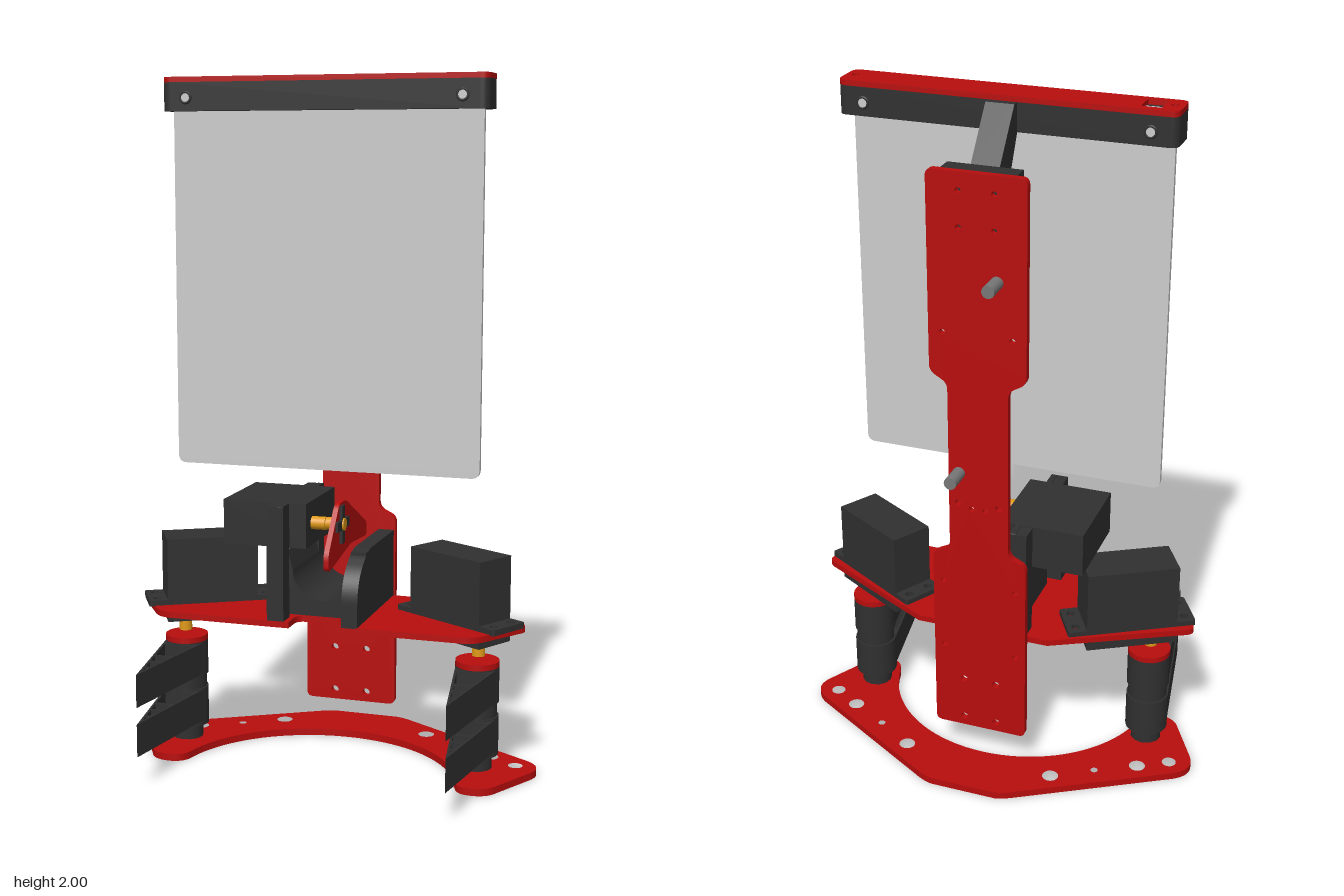
import * as THREE from 'three';

const mat = (color) => new THREE.MeshStandardMaterial({ color });
const red = mat(0xb80d0d), dark = mat(0x303030), gold = mat(0xe09a18);
const steel = mat(0x777777), grey = mat(0xcccccc);

export function createModel() {
  const model = new THREE.Group();

  const add = (name, geo, material, parent = model) => {
    const m = new THREE.Mesh(geo, material);
    m.name = name;
    parent.add(m);
    return m;
  };
  // box given by its min and max on each axis
  const box = (name, [x0, x1], [y0, y1], [z0, z1], material, parent) =>
    add(name, new THREE.BoxGeometry(x1 - x0, y1 - y0, z1 - z0)
      .translate((x0 + x1) / 2, (y0 + y1) / 2, (z0 + z1) / 2), material, parent);
  const cyl = (name, r, y0, y1, x, z, material, parent, sides = 28) =>
    add(name, new THREE.CylinderGeometry(r, r, y1 - y0, sides).translate(x, (y0 + y1) / 2, z), material, parent);

  // polygon with rounded corners; a point is [x, y, radius]
  const rounded = (pts, r = 0) => {
    const s = new THREE.Shape();
    pts.forEach(([x, y, pr = r], i) => {
      const toward = ([a, b]) => {
        const l = Math.hypot(a - x, b - y);
        return [x + ((a - x) / l) * pr, y + ((b - y) / l) * pr];
      };
      const p = toward(pts[(i + pts.length - 1) % pts.length]);
      const q = toward(pts[(i + 1) % pts.length]);
      if (i) s.lineTo(...p); else s.moveTo(...p);
      if (pr) s.quadraticCurveTo(x, y, ...q);
    });
    s.closePath();
    return s;
  };
  const drill = (shape, holes) => {
    holes.forEach(([x, y, r]) => shape.holes.push(new THREE.Path().absarc(x, y, r, 0, Math.PI * 2, true)));
    return shape;
  };
  const extrude = (shape, depth) =>
    new THREE.ExtrudeGeometry(shape, { depth, bevelEnabled: false, curveSegments: 20 });
  // plan shapes use (x, -z); side shapes use (-z, y)
  const plan = (shape, y, h) => extrude(shape, h).rotateX(-Math.PI / 2).translate(0, y, 0);
  const side = (shape, x, w) => extrude(shape, w).rotateY(Math.PI / 2).translate(x, 0, 0);
  const mirror = (pts) => [...pts, ...pts.map(([x, ...rest]) => [-x, ...rest])];

  // arched base plate with bolt holes
  const base = new THREE.Shape();
  base.moveTo(-0.1, 0.39);
  base.lineTo(0.1, 0.39);
  base.quadraticCurveTo(0.125, 0.385, 0.15, 0.37);
  base.lineTo(0.57, 0.125);
  base.quadraticCurveTo(0.63, 0.085, 0.595, 0.025);
  base.lineTo(0.52, -0.11);
  base.quadraticCurveTo(0.5, -0.14, 0.46, -0.14);
  base.quadraticCurveTo(0.41, -0.14, 0.405, -0.09);
  base.absellipse(0, -0.17, 0.41, 0.39, 0.2, Math.PI - 0.2, false);
  base.quadraticCurveTo(-0.41, -0.14, -0.46, -0.14);
  base.quadraticCurveTo(-0.5, -0.14, -0.52, -0.11);
  base.lineTo(-0.595, 0.025);
  base.quadraticCurveTo(-0.63, 0.085, -0.57, 0.125);
  base.lineTo(-0.15, 0.37);
  base.quadraticCurveTo(-0.125, 0.385, -0.1, 0.39);
  drill(base, mirror([[0.23, 0.26, 0.024], [0.345, 0.19, 0.011], [0.46, 0.127, 0.024], [0.545, 0.077, 0.021]]));
  add('basePlate', plan(base, 0.003, 0.021), red);

  // servo deck with a front notch
  add('servoDeck', plan(rounded([
    [-0.47, -0.165, 0.04], [-0.07, -0.165], [-0.07, -0.085, 0.03], [0.083, -0.085, 0.03], [0.083, -0.165],
    [0.47, -0.165, 0.04], [0.59, 0.01, 0.03], [0.2, 0.215], [-0.2, 0.215], [-0.59, 0.01, 0.03],
  ]), 0.45, 0.018), red);

  // servo: length along x, output shaft pointing down
  const servo = (name) => {
    const g = new THREE.Group();
    g.name = name;
    box('servoBody', [-0.135, 0.135], [-0.05, 0.2], [-0.065, 0.065], dark, g);
    const flange = drill(rounded([[-0.19, -0.065], [0.19, -0.065], [0.19, 0.065], [-0.19, 0.065]], 0.008),
      [-1, 1].flatMap((a) => [-1, 1].map((b) => [a * 0.163, b * 0.035, 0.012])));
    add('servoFlange', plan(flange, 0, 0.017), dark, g);
    cyl('servoShaft', 0.019, -0.092, -0.05, 0.075, 0, gold, g);
    model.add(g);
    return g;
  };

  // gripping claws, left and right
  for (const s of [1, -1]) {
    const g = servo(s > 0 ? 'leftClawServo' : 'rightClawServo');
    g.position.set(s * 0.385, 0.466, -0.027);
    g.rotation.y = s > 0 ? -Math.PI / 6 : -Math.PI * 5 / 6;

    const claw = new THREE.Group();
    claw.name = s > 0 ? 'leftClaw' : 'rightClaw';
    claw.position.set(s * 0.447, 0, 0.01);
    model.add(claw);
    cyl('clawCap', 0.063, 0.345, 0.362, 0, 0, red, claw);
    cyl('clawPillarUpper', 0.063, 0.24, 0.345, 0, 0, dark, claw);
    cyl('clawPillarNeck', 0.058, 0.2, 0.24, 0, 0, dark, claw);
    cyl('clawPillarLower', 0.063, 0.085, 0.2, 0, 0, dark, claw);
    cyl('clawFoot', 0.046, 0.042, 0.085, 0, 0, dark, claw, 12);
    // tapering ladder-like fingers
    const w = (z) => 0.063 * (1 - z / 0.375);
    const finger = rounded([[-0.063, 0], [0, -0.375], [0.063, 0]]);
    for (const [a, b] of [[0.065, 0.175], [0.185, 0.233], [0.241, 0.29], [0.297, 0.325]]) {
      const u = w(a) - 0.007, v = w(b) - 0.007;
      finger.holes.push(rounded([[-u, -a], [u, -a], [v, -b], [-v, -b]]));
    }
    for (const y of [0.1, 0.245]) add('clawFinger', plan(finger, y, 0.096), dark, claw);
  }

  // central lift servo lying on its side, on two posts
  const lift = servo('liftServo');
  lift.setRotationFromMatrix(new THREE.Matrix4().makeBasis(
    new THREE.Vector3(0, 0, 1), new THREE.Vector3(-1, 0, 0), new THREE.Vector3(0, -1, 0)));
  lift.position.set(-0.085, 0.737, -0.025);
  for (const [z0, z1] of [[0.112, 0.165], [-0.215, -0.162]])
    box('liftServoPost', [-0.135, -0.085], [0.465, 0.8], [z0, z1], dark);

  // U-shaped cradle and its rounded side wall
  const cradle = new THREE.Shape();
  cradle.moveTo(-0.1, 0.465);
  cradle.lineTo(0.135, 0.465);
  cradle.lineTo(0.135, 0.665);
  cradle.lineTo(0.09, 0.665);
  cradle.lineTo(0.085, 0.6);
  cradle.absarc(0, 0.6, 0.085, 0, Math.PI, true);
  cradle.lineTo(-0.1, 0.66);
  add('cradle', extrude(cradle, 0.295).translate(0, 0, -0.215), dark);
  add('cradleWall', side(rounded([[-0.165, 0.465], [-0.165, 0.6, 0.07], [-0.06, 0.67, 0.04],
    [0.215, 0.67], [0.215, 0.465]]), 0.088, 0.047), dark);

  // red lift lever with horn and shaft
  add('liftLever', side(rounded([[-0.165, 0.62], [-0.165, 0.67], [-0.06, 0.8], [0, 0.8], [0.215, 0.69],
    [0.215, 0.65], [0.05, 0.66]], 0.02), 0.035, 0.015), red);
  for (const a of [0, Math.PI / 2])
    add('servoHorn', new THREE.BoxGeometry(0.008, 0.11, 0.028).rotateX(a).translate(0.054, 0.737, 0.045), dark);
  add('liftShaft', new THREE.CylinderGeometry(0.018, 0.018, 0.1, 20).rotateZ(Math.PI / 2)
    .translate(0.012, 0.737, 0.045), gold);

  // tall back plate, narrow in the middle
  const back = rounded([[-0.14, 0.125], [0.14, 0.125], [0.14, 0.71], [0.088, 0.735], [0.088, 1.25],
    [0.14, 1.28], [0.14, 1.85], [-0.14, 1.85], [-0.14, 1.28], [-0.088, 1.25], [-0.088, 0.735], [-0.14, 0.71]], 0.02);
  drill(back, mirror([[0.05, 0.155, 0.011], [0.05, 0.29, 0.011], [0.11, 0.4, 0.008], [0.11, 0.62, 0.008],
    [0.1, 1.4, 0.008], [0.05, 1.7, 0.008], [0.05, 1.8, 0.008], [0.06, 0.885, 0.01], [0.02, 0.87, 0.008]]));
  add('backPlate', extrude(back, 0.02).translate(0, 0, -0.235), red);
  for (const x of [-0.062, 0.062])
    box('backPlateClip', [x - 0.015, x + 0.015], [0.865, 0.925], [-0.216, -0.198], red);

  // rear standoffs
  for (const [x, y] of [[-0.057, 1.56], [0.057, 0.98]])
    add('standoff', new THREE.CylinderGeometry(0.018, 0.018, 0.07, 20).rotateX(Math.PI / 2)
      .translate(x, y, -0.27), steel);

  // slanted hanger from the back plate to the top bar
  add('hangerArm', side(rounded([[0.03, 1.985], [0.055, 1.985], [0.165, 1.85], [0.215, 1.85],
    [0.215, 1.655], [0.165, 1.655], [0.03, 1.91]]), -0.04, 0.08), dark);
  box('hangerFoot', [-0.105, 0.105], [1.655, 1.85], [-0.215, -0.165], dark);

  // top bar, red cap and the sheet it holds
  const bar = (r) => rounded([[-0.472, -0.08], [0.472, -0.08], [0.472, 0.033], [-0.472, 0.033]], r);
  add('topBar', plan(bar(0.025), 1.905, 0.08), dark);
  const cap = drill(bar(0.025), [[-0.445, -0.028, 0.011], [0.445, -0.028, 0.011]]);
  cap.holes.push(rounded([[-0.42, -0.063], [-0.365, -0.063], [-0.365, 0.008], [-0.42, 0.008]], 0.005));
  add('topBarCap', plan(cap, 1.985, 0.015), red);
  box('capLatch', [-0.42, -0.365], [1.983, 1.988], [0.015, 0.04], grey);
  for (const x of [-0.4, 0.4]) {
    for (const z of [0.08, -0.033]) {
      add('barScrewRim', new THREE.TorusGeometry(0.015, 0.004, 8, 20).translate(x, 1.942, z), dark);
      add('barScrew', new THREE.CylinderGeometry(0.012, 0.012, 0.006, 20).rotateX(Math.PI / 2)
        .translate(x, 1.942, z), grey);
    }
  }
  add('sheet', extrude(rounded([[-0.452, 0.89, 0.025], [0.452, 0.89, 0.025], [0.452, 1.91], [-0.452, 1.91]]), 0.015)
    .translate(0, 0, 0.025), grey);

  return model;
}
